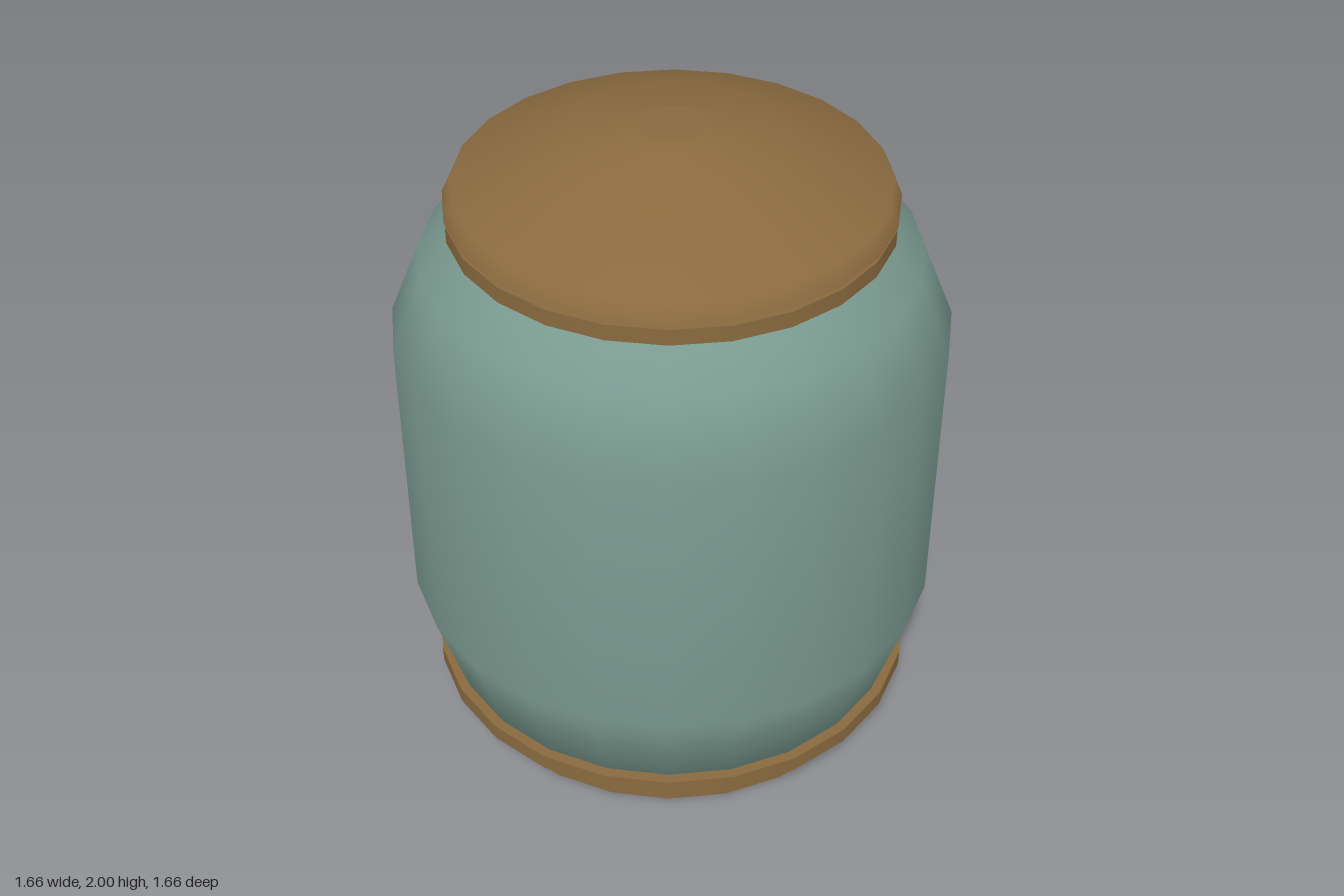
import * as THREE from 'three';

const SIDES = 24;

export function createModel() {
  const group = new THREE.Group();
  group.name = 'lidded jar';

  const glaze = new THREE.MeshStandardMaterial({ color: 0x7a9a90 });
  glaze.name = 'sage glaze';
  const wood = new THREE.MeshStandardMaterial({ color: 0x8a6a3f });
  wood.name = 'brown wood';

  function add(name, geometry, material, y = 0) {
    const mesh = new THREE.Mesh(geometry, material);
    mesh.name = name;
    mesh.position.y = y;
    group.add(mesh);
  }

  // Smooth turned wall from [radius, height] pairs, listed bottom to top
  const turned = (profile) =>
    new THREE.LatheGeometry(profile.map(([r, y]) => new THREE.Vector2(r, y)), SIDES);

  // Flat disc facing up (1) or down (-1)
  const disc = (radius, facing) =>
    new THREE.CircleGeometry(radius, SIDES).rotateX(-facing * Math.PI / 2);

  // Solid ring band standing between two heights
  function band(name, radius, bottom, top) {
    const geometry = new THREE.CylinderGeometry(radius, radius, top - bottom, SIDES);
    add(name, geometry, wood, (bottom + top) / 2);
  }

  // Jar body
  add('body', turned([
    [0.5, 0.01], [0.73, 0.13], [0.83, 0.46], [0.83, 1.37], [0.735, 1.6], [0.6, 1.72],
  ]), glaze);
  add('bodyTop', disc(0.6, 1), glaze, 1.72);

  // Foot, lower hoop and neck collar
  band('foot', 0.695, 0, 0.05);
  band('lowerHoop', 0.77, 0.105, 0.157);
  band('neckCollar', 0.652, 1.71, 1.76);

  // Domed lid, held just above the collar
  add('lid', turned([
    [0.655, 1.775], [0.63, 1.83], [0.315, 1.963], [0.1, 2],
  ]), wood);
  add('lidCrown', disc(0.1, 1), wood, 2);
  add('lidUnderside', disc(0.655, -1), wood, 1.775);

  return group;
}
